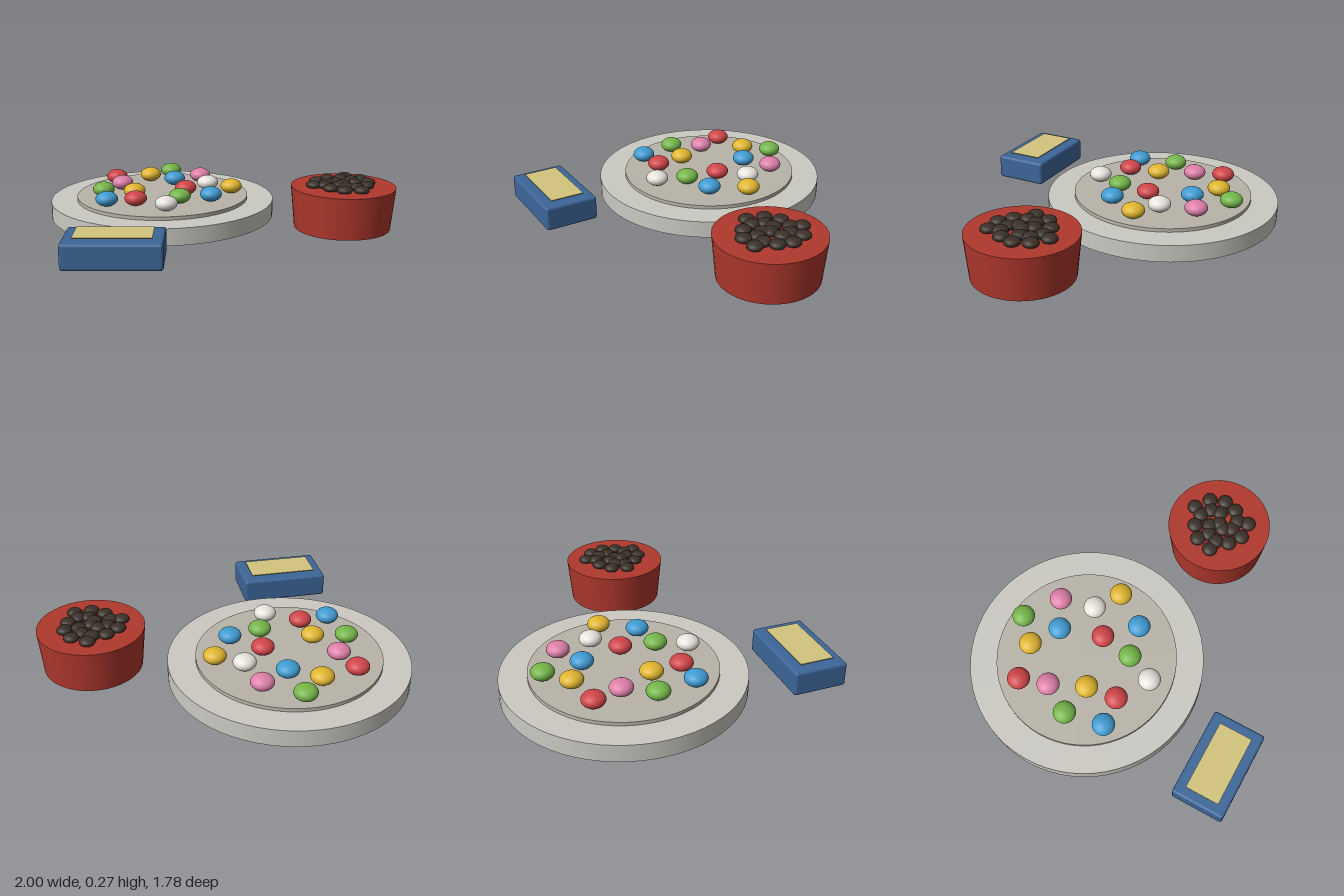
import * as THREE from 'three';
import { RoundedBoxGeometry } from 'three/addons/geometries/RoundedBoxGeometry.js';

const paint = (color) => new THREE.MeshStandardMaterial({ color });

function addMesh(parent, name, geometry, material, x, y, z) {
  const mesh = new THREE.Mesh(geometry, material);
  mesh.name = name;
  mesh.position.set(x, y, z);
  parent.add(mesh);
  return mesh;
}

function namedGroup(parent, name, x, z) {
  const group = new THREE.Group();
  group.name = name;
  group.position.set(x, 0, z);
  parent.add(group);
  return group;
}

export function createModel() {
  const model = new THREE.Group();
  model.name = 'sweetsSet';

  // Plate with a raised inner disc
  const plate = namedGroup(model, 'plate', -0.35, -0.25);
  addMesh(plate, 'plateBase', new THREE.CylinderGeometry(0.65, 0.65, 0.095, 64), paint(0xcbc9c2), 0, 0.0475, 0);
  addMesh(plate, 'plateInset', new THREE.CylinderGeometry(0.5, 0.5, 0.025, 64), paint(0xb8b4a8), 0, 0.1025, 0);

  // Flattened sweets scattered on the plate, listed by colour as [x, z]
  const sweets = namedGroup(model, 'sweets', 0, 0);
  const sweetGeometry = new THREE.SphereGeometry(0.063, 24, 16).scale(1, 0.66, 1);
  const sweetSpots = {
    red: [0xd0454a, [[-0.69, -0.44], [-0.21, -0.25], [-0.43, 0.04]]],
    yellow: [0xe0b52e, [[-0.5, -0.53], [0.045, -0.34], [-0.485, -0.125]]],
    green: [0x74b548, [[-0.405, -0.67], [-0.67, -0.12], [-0.2, -0.06]]],
    blue: [0x3f9bd2, [[-0.33, -0.465], [-0.035, -0.135], [-0.585, 0.085]]],
    pink: [0xdd7fa8, [[-0.195, -0.58], [-0.61, -0.295]]],
    white: [0xe6e3dc, [[-0.11, -0.4], [-0.235, 0.11]]],
  };
  for (const [name, [color, spots]] of Object.entries(sweetSpots)) {
    const material = paint(color);
    for (const [x, z] of spots) addMesh(sweets, `${name}Sweet`, sweetGeometry, material, x, 0.157, z);
  }

  // Tapered tub topped with a spiral of dark beans
  const tub = namedGroup(model, 'tub', 0.71, -0.17);
  addMesh(tub, 'tubBody', new THREE.CylinderGeometry(0.29, 0.268, 0.235, 48), paint(0xb0382d), 0, 0.1175, 0);
  const beanGeometry = new THREE.SphereGeometry(0.043, 16, 12).scale(1, 0.55, 1);
  const beanMaterial = paint(0x3a3028);
  for (let i = 0; i < 20; i++) {
    const r = 0.04 * Math.sqrt(i);
    const a = 1.9 * i;
    addMesh(tub, 'bean', beanGeometry, beanMaterial, r * Math.cos(a), 0.247, r * Math.sin(a));
  }

  // Small turned box with a blank panel on its lid
  const box = namedGroup(model, 'box', -0.35, 0.69);
  box.rotation.y = 0.2;
  addMesh(box, 'boxBody', new RoundedBoxGeometry(0.5, 0.136, 0.3, 2, 0.015), paint(0x3c6699), 0, 0.08, 0);
  addMesh(box, 'lidPanel', new THREE.BoxGeometry(0.39, 0.004, 0.19), paint(0xd3c47c), 0, 0.161, 0);

  return model;
}
